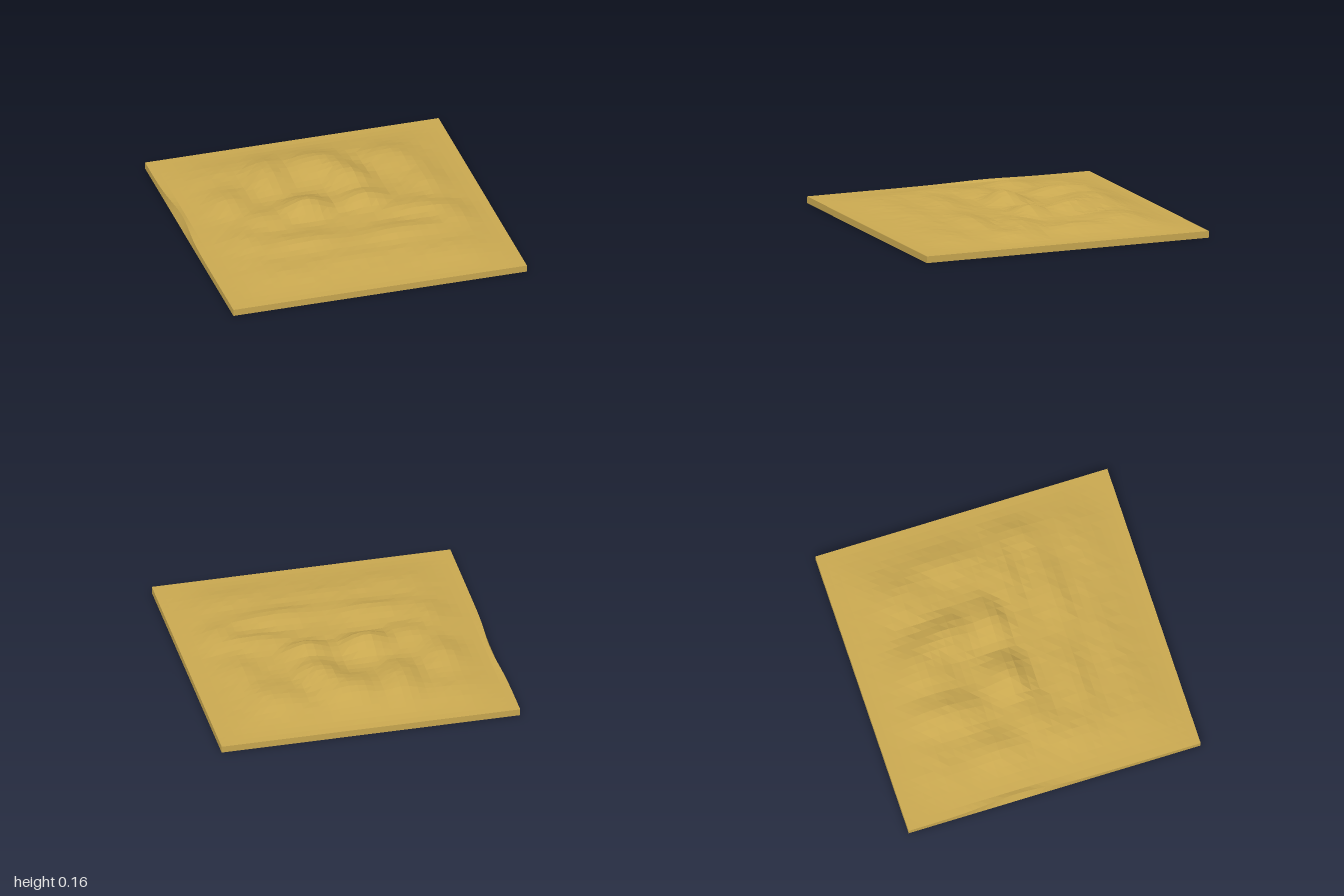
import * as THREE from 'three';

const SEG = 36;   // terrain cells per side
const RIM = 0.045; // slab height at the border

// Hills: [x, z, half-width x, half-width back, half-width front, rise, turn]
const HILLS = [
  [-0.19, -0.04, 0.17, 0.16, 0.11, 0.115, 0],    // twin summits
  [0.21, -0.05, 0.17, 0.16, 0.11, 0.100, 0],
  [0.18, -0.38, 0.15, 0.26, 0.24, 0.105, -0.3],  // rear ridges
  [0.02, -0.58, 0.24, 0.24, 0.22, 0.092, 0],
  [-0.30, -0.55, 0.15, 0.30, 0.28, 0.090, 0.15],
  [0.52, -0.55, 0.22, 0.20, 0.22, 0.068, 0],
  [-0.66, -0.27, 0.18, 0.24, 0.22, 0.064, 0],    // flanks
  [0.70, -0.20, 0.16, 0.28, 0.22, 0.062, 0],
  [-0.48, 0.00, 0.20, 0.18, 0.18, 0.064, 0],
  [0.50, 0.14, 0.30, 0.16, 0.12, 0.066, 0.1],
  [0.77, 0.25, 0.16, 0.20, 0.20, 0.064, 0],
  [-0.68, 0.22, 0.20, 0.18, 0.18, 0.058, 0],
  [-0.30, 0.36, 0.42, 0.16, 0.13, 0.062, 0.08],  // long front ridges
  [0.30, 0.40, 0.40, 0.16, 0.12, 0.064, -0.05],
  [0.00, 0.62, 0.72, 0.16, 0.13, 0.037, 0],
  [-0.30, 0.78, 0.42, 0.14, 0.14, 0.030, 0],
  [0.40, 0.76, 0.36, 0.14, 0.14, 0.030, 0],
  [0.00, -0.80, 0.55, 0.18, 0.18, 0.050, 0],
];

const ease = (d, w) => THREE.MathUtils.smoothstep(d, 0, w);

// Repeatable value in -1..1 for a cell corner
function hash(i, j) {
  const s = Math.sin(i * 127.1 + j * 311.7) * 43758.5453;
  return (s - Math.floor(s)) * 2 - 1;
}

// Terrain height: hills blended by a soft maximum, fading to the border
function height(x, z) {
  let sum = Math.pow(0.034, 4);
  for (const [cx, cz, w, back, front, rise, turn] of HILLS) {
    const c = Math.cos(turn), s = Math.sin(turn);
    const dx = (x - cx) * c + (z - cz) * s;
    const dz = (z - cz) * c - (x - cx) * s;
    const r2 = (dx / w) ** 2 + (dz / (dz < 0 ? back : front)) ** 2;
    sum += Math.pow(rise * Math.exp(-0.75 * r2), 4);
  }
  const fade = ease(1 - Math.abs(x), 0.38) * ease(1 - Math.abs(z), 0.38);
  const i = Math.round((x + 1) * SEG / 2), j = Math.round((z + 1) * SEG / 2);
  const rough = 0.0022 * hash(i, j) + 0.003 * Math.sin(9 * x + 4 * z) * Math.sin(13 * z - 3 * x);
  return RIM + fade * (Math.pow(sum, 0.25) + rough);
}

export function createModel() {
  const group = new THREE.Group();
  group.name = 'terrainTile';

  // Slab whose top face is raised into hills
  const geo = new THREE.BoxGeometry(2, RIM, 2, SEG, 1, SEG);
  const pos = geo.attributes.position;
  for (let k = 0; k < pos.count; k++) {
    let x = pos.getX(k);
    const z = pos.getZ(k);
    if (pos.getY(k) < 0) {
      pos.setY(k, 0);
      continue;
    }
    let y = height(x, z);
    // The left border leans inward and swells a little
    if (x < -0.999) {
      const bulge = Math.exp(-(((z + 0.25) / 0.27) ** 2));
      x += 0.026 * bulge;
      y += 0.014 * bulge;
    }
    pos.setXYZ(k, x, y, z);
  }
  geo.computeVertexNormals();

  const terrain = new THREE.Mesh(
    geo,
    new THREE.MeshStandardMaterial({ color: 0xc9a850, flatShading: true })
  );
  terrain.name = 'terrain';
  group.add(terrain);
  return group;
}
